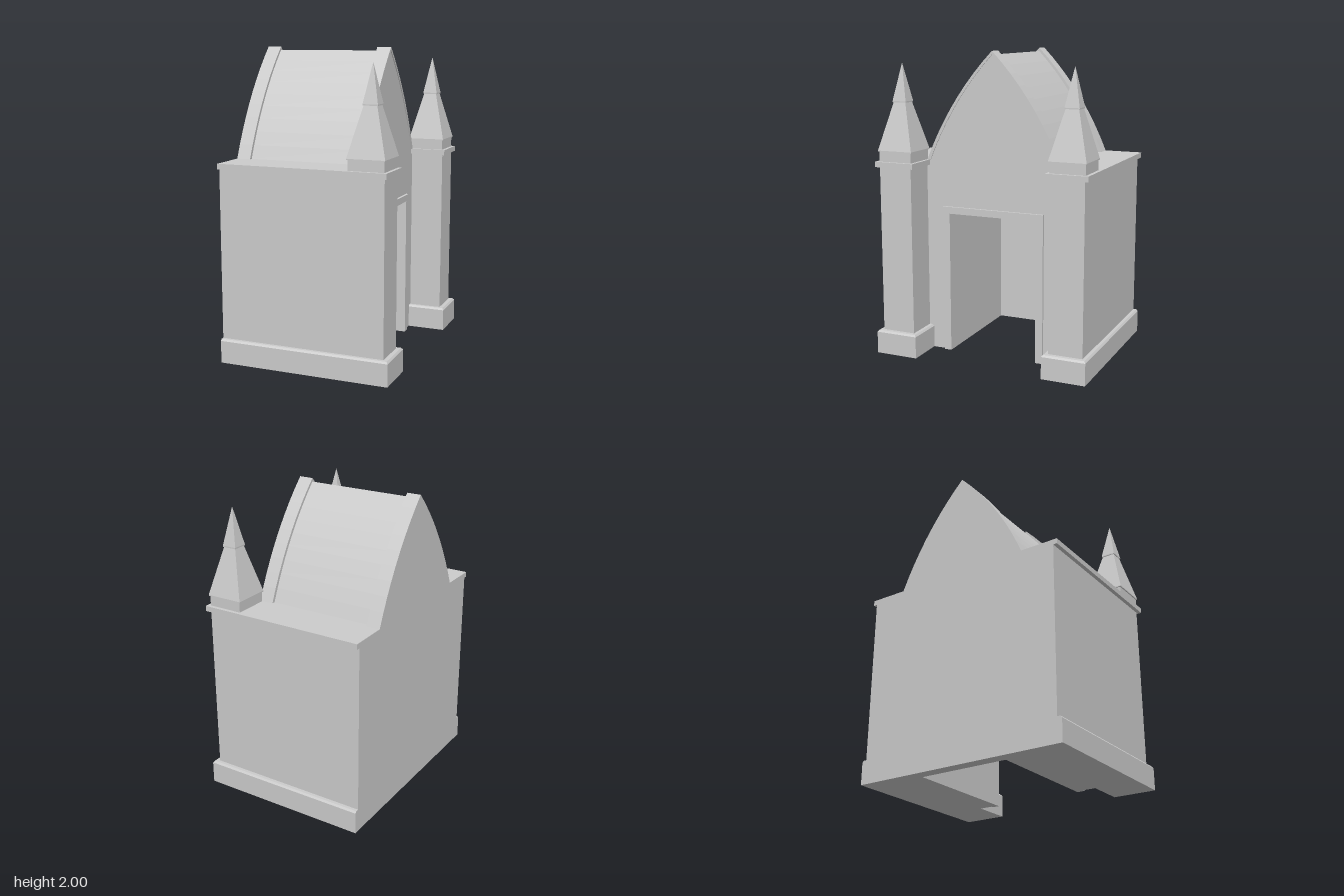
import * as THREE from 'three';

const material = new THREE.MeshStandardMaterial({ color: 0xcccccc, flatShading: true });

// Box between two corners whose top is drawn in by an inset on the +x, -x and z sides
function block(name, [x0, x1], [y0, y1], [z0, z1], front = 0, back = front, sides = front) {
  const g = new THREE.BoxGeometry(x1 - x0, y1 - y0, z1 - z0);
  g.translate((x0 + x1) / 2, (y0 + y1) / 2, (z0 + z1) / 2);
  const p = g.attributes.position;
  const mx = (x0 + x1) / 2, my = (y0 + y1) / 2, mz = (z0 + z1) / 2;
  for (let i = 0; i < p.count; i++) {
    if (p.getY(i) < my) continue;
    p.setX(i, p.getX(i) + (p.getX(i) > mx ? -front : back));
    p.setZ(i, p.getZ(i) + (p.getZ(i) > mz ? -sides : sides));
  }
  g.computeVertexNormals();
  const mesh = new THREE.Mesh(g, material);
  mesh.name = name;
  return mesh;
}

// Extrudes a z-y profile along x
function alongX(name, points, x0, x1) {
  const g = new THREE.ExtrudeGeometry(new THREE.Shape(points), { depth: x1 - x0, bevelEnabled: false });
  g.rotateY(Math.PI / 2).translate(x0, 0, 0);
  const mesh = new THREE.Mesh(g, material);
  mesh.name = name;
  return mesh;
}

const v = (x, y) => new THREE.Vector2(x, y);

// Pointed arch from the right springing over the apex to the left springing
function pointedArch(half, apex, bulge) {
  const right = new THREE.QuadraticBezierCurve(v(half, 1.29), bulge, v(0, apex)).getPoints(9);
  const left = right.slice(0, -1).reverse().map((p) => v(-p.x, p.y));
  return [...right, ...left];
}

// Upright doorway outline, open at the ground
const doorway = (half, top) => [v(-half, 0), v(-half, top), v(half, top), v(half, 0)];

// Square two-stage spire on a short block
function spire(z) {
  const group = new THREE.Group();
  group.name = 'spire';
  const x = 0.408;
  const stage = (name, y0, y1, r0, r1) =>
    group.add(block(name, [x - r0, x + r0], [y0, y1], [z - r0, z + r0], r0 - r1));
  stage('spireBlock', 1.28, 1.355, 0.115, 0.115);
  stage('spireEaves', 1.355, 1.362, 0.122, 0.122);
  stage('lowerSpire', 1.362, 1.67, 0.122, 0.043);
  stage('spireCollar', 1.67, 1.678, 0.048, 0.048);
  stage('upperSpire', 1.678, 1.92, 0.048, 0.0005);
  return group;
}

export function createModel() {
  const model = new THREE.Group();
  model.name = 'gatehouse';

  // Central body with a hollow doorway passage and a closed back
  const vault = pointedArch(0.447, 1.977, v(0.286, 1.683));
  const bodyTop = [v(0.48, 0), v(0.48, 1.29), ...vault, v(-0.48, 1.29), v(-0.48, 0)];
  model.add(alongX('vaultedBody', [...bodyTop, ...doorway(0.305, 0.94)], -0.49, 0.305));
  model.add(alongX('backWall', bodyTop, -0.57, -0.49));

  // Raised ribs at both ends of the roof
  const rib = [
    ...pointedArch(0.47, 2, v(0.30, 1.70)),
    ...pointedArch(0.447, 1.977, v(0.286, 1.683)).reverse(),
  ];
  model.add(alongX('backRib', rib, -0.57, -0.477));
  model.add(alongX('frontRib', rib, 0.215, 0.31));

  // Door surround
  const surround = [...doorway(0.355, 0.985), ...doorway(0.305, 0.94).reverse()];
  model.add(alongX('doorSurround', surround, 0.3, 0.322));

  // Side walls ending in pillars, mirrored
  for (const side of [1, -1]) {
    const span = (a, b) => (side > 0 ? [a, b] : [-b, -a]);
    const wall = new THREE.Group();
    wall.name = side > 0 ? 'leftWall' : 'rightWall';
    wall.add(
      block('plinth', [-0.57, 0.562], [0, 0.145], span(0.443, 0.733)),
      block('plinthBevel', [-0.57, 0.562], [0.145, 0.157], span(0.443, 0.733), 0.01, 0, 0.01),
      block('wallShaft', [-0.57, 0.525], [0.15, 1.26], span(0.475, 0.702)),
      block('cornice', [-0.57, 0.545], [1.255, 1.29], span(0.453, 0.728)),
      spire(side * 0.589),
    );
    model.add(wall);
  }
  return model;
}
